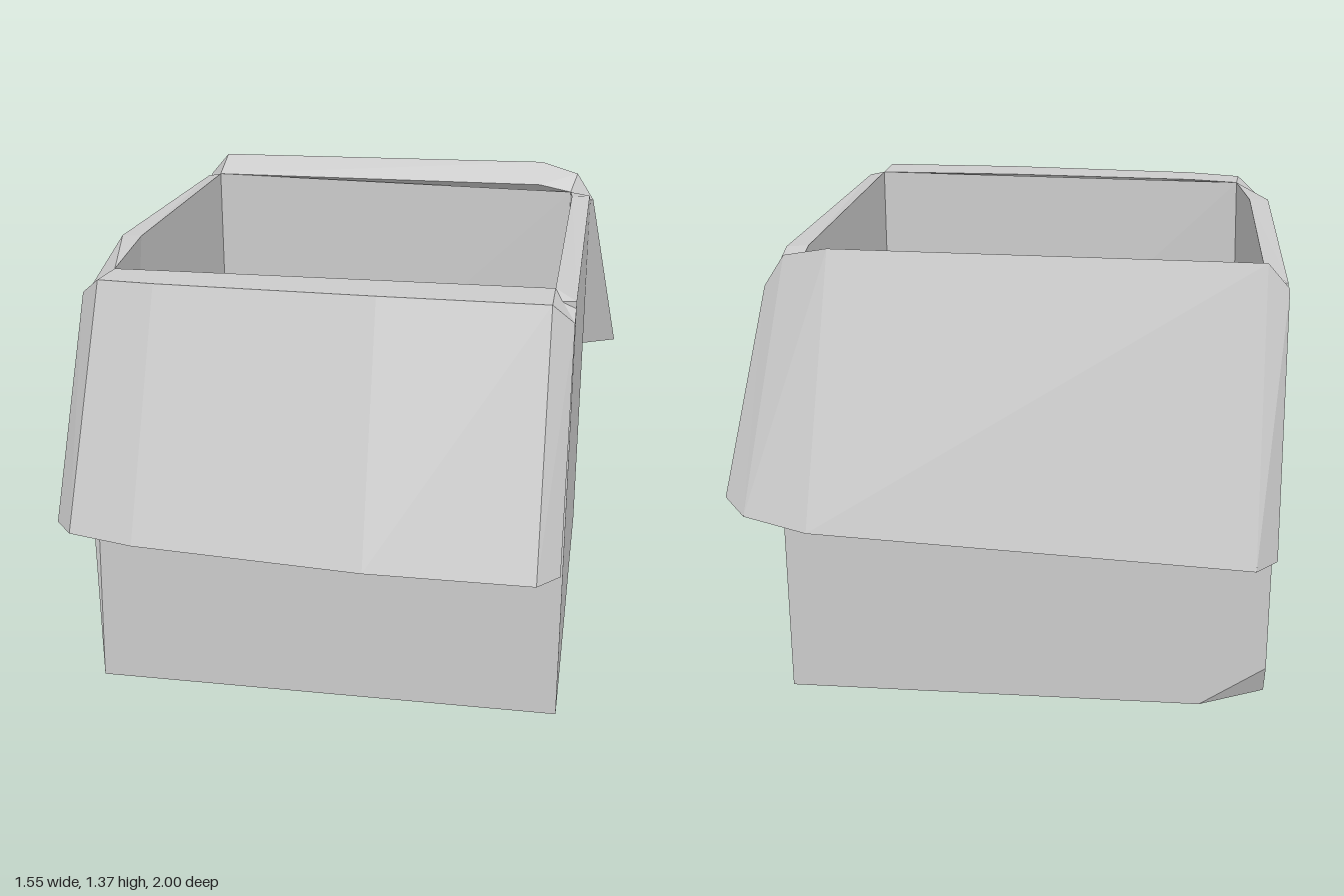
import * as THREE from 'three';

const material = new THREE.MeshStandardMaterial({ color: 0xcccccc, flatShading: true, side: THREE.DoubleSide });

// Faceted mesh from polygons, each fanned from its first corner
function facetMesh(name, polygons) {
  const positions = [];
  for (const p of polygons) {
    for (let i = 1; i < p.length - 1; i++) positions.push(...p[0], ...p[i], ...p[i + 1]);
  }
  const geometry = new THREE.BufferGeometry();
  geometry.setAttribute('position', new THREE.Float32BufferAttribute(positions, 3));
  geometry.computeVertexNormals();
  const mesh = new THREE.Mesh(geometry, material);
  mesh.name = name;
  return mesh;
}

// Closed solid between rails; each rail is one section corner followed along the flap
function loft(name, rails) {
  const faces = [];
  const last = rails[0].length - 1;
  rails.forEach((a, j) => {
    const b = rails[(j + 1) % rails.length];
    for (let s = 0; s < last; s++) faces.push([a[s], a[s + 1], b[s + 1]], [a[s], b[s + 1], b[s]]);
  });
  faces.push(rails.map((r) => r[0]), [rails[0][last], ...rails.slice(1).map((r) => r[last]).reverse()]);
  return facetMesh(name, faces);
}

// Open carton with thick walls, worn rim corners and one dented bottom corner
function createCarton() {
  const frontLeft = [0.66, 0, 0.66], frontRight = [-0.75, 0, 0.66], backLeft = [0.66, 0, -0.75];
  const outer = [
    [-0.72, 1.25, 0.64], [0.66, 1.29, 0.66], [0.66, 1.31, -0.55],
    [0.66, 1.25, -0.75], [-0.75, 1.29, -0.75], [-0.75, 1.31, 0.24],
  ];
  const inner = [
    [-0.66, 1.3, 0.58], [0.6, 1.31, 0.61], [0.6, 1.31, -0.53],
    [0.59, 1.29, -0.69], [-0.69, 1.31, -0.7], [-0.69, 1.31, 0.24],
  ];
  const floor = [
    [-0.69, 0.06, 0.6], [0.6, 0.06, 0.6], [0.6, 0.06, -0.53],
    [0.6, 0.06, -0.7], [-0.69, 0.06, -0.7], [-0.69, 0.06, 0.24],
  ];
  const worn = [-0.75, 1.0, 0.66];
  const dentX = [-0.56, 0, -0.75], dentY = [-0.75, 0.13, -0.75], dentZ = [-0.75, 0, -0.59], dentTip = [-0.75, 0.03, -0.7];
  const faces = [
    [frontRight, frontLeft, outer[1], outer[0], worn],
    [frontLeft, backLeft, outer[3], outer[2], outer[1]],
    [backLeft, dentX, dentY, outer[4], outer[3]],
    [frontRight, worn, outer[5], outer[4], dentY, dentTip, dentZ],
    [worn, outer[0], outer[5]],
    [dentX, dentTip, dentY],
    [dentX, dentZ, dentTip],
    [frontRight, dentZ, dentX, backLeft, frontLeft],
    floor,
  ];
  for (let i = 0; i < 6; i++) {
    const k = (i + 1) % 6;
    faces.push([outer[i], outer[k], inner[k], inner[i]]); // rim
    faces.push([inner[i], inner[k], floor[k], floor[i]]); // inside wall
  }
  return facetMesh('carton', faces);
}

export function createModel() {
  const model = new THREE.Group();
  model.name = 'openBox';
  model.add(createCarton());

  // Rails: inner hinge, wall top, rim, outer fold, outer hem, inner hem
  model.add(loft('frontFlap', [
    [[0.66, 1.25, 0.73], [0.13, 1.25, 0.73], [-0.5, 1.25, 0.69], [-0.73, 1.25, 0.66]],
    [[0.66, 1.27, 0.66], [0.13, 1.25, 0.66], [-0.5, 1.25, 0.66], [-0.72, 1.25, 0.64]],
    [[0.6, 1.31, 0.61], [0.13, 1.31, 0.61], [-0.5, 1.305, 0.595], [-0.66, 1.3, 0.58]],
    [[0.6, 1.31, 0.77], [0.13, 1.31, 0.765], [-0.5, 1.305, 0.73], [-0.67, 1.3, 0.7]],
    [[0.6, 0.6, 1], [0.13, 0.6, 1], [-0.53, 0.61, 0.96], [-0.72, 0.62, 0.93]],
    [[0.66, 0.6, 0.93], [0.13, 0.6, 0.93], [-0.55, 0.61, 0.89], [-0.78, 0.62, 0.86]],
  ]));

  model.add(loft('backFlap', [
    [[-0.75, 1.29, -0.81], [0.48, 1.29, -0.77], [0.67, 1.25, -0.76]],
    [[-0.75, 1.27, -0.74], [0.48, 1.27, -0.74], [0.66, 1.25, -0.75]],
    [[-0.69, 1.31, -0.7], [0.48, 1.31, -0.7], [0.59, 1.29, -0.69]],
    [[-0.69, 1.36, -0.82], [0.48, 1.37, -0.81], [0.61, 1.34, -0.77]],
    [[-0.69, 0.56, -1], [0.53, 0.62, -1], [0.71, 0.65, -0.97]],
    [[-0.75, 0.56, -0.93], [0.53, 0.63, -0.93], [0.775, 0.68, -0.91]],
  ]));
  return model;
}
